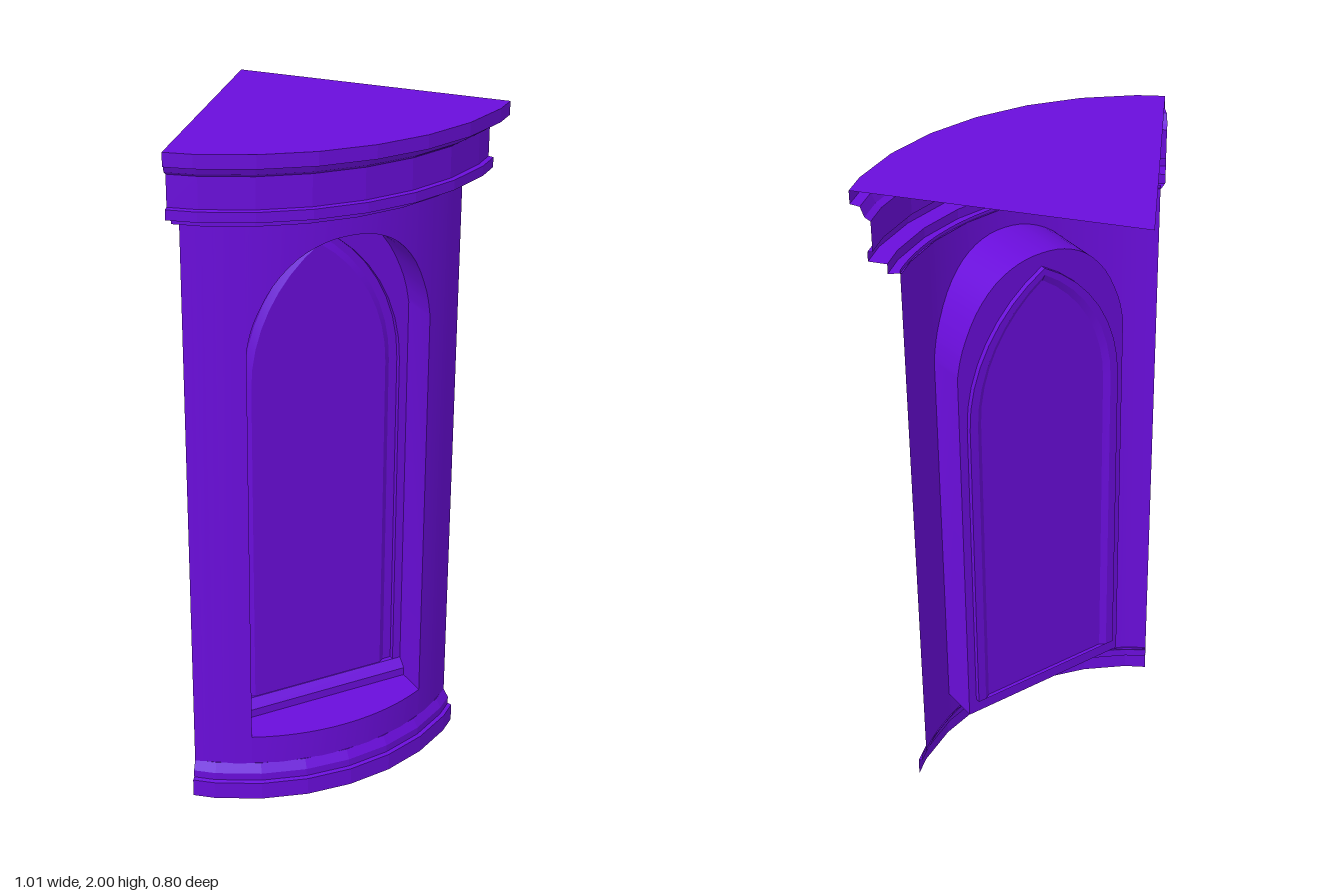
import * as THREE from 'three';
import { toCreasedNormals } from 'three/addons/utils/BufferGeometryUtils.js';

const material = new THREE.MeshStandardMaterial({ color: 0x6a0ddb, side: THREE.DoubleSide });
const APEX = -0.4;          // z of the centre the curved parts turn about
const WALL_R = 0.67;
const BACK = 0.09;          // z of the niche's back panel
const JAMB = 0.28, SILL = 0.2, SPRING = 1.42;
const WALL_LOW = 0.1, WALL_HIGH = 1.79;
const rad = THREE.MathUtils.degToRad;
const wallZ = (x) => APEX + Math.sqrt(WALL_R * WALL_R - x * x);
const lerpList = (a, b, n) => Array.from({ length: n + 1 }, (_, i) => a + (b - a) * i / n);

// Surface through rows of [x, y, z] points
function loft(rows, crease = 0.5) {
  const n = rows[0].length, index = [];
  for (let i = 0; i < rows.length - 1; i++) {
    for (let j = 0; j < n - 1; j++) {
      const a = i * n + j, b = a + 1, c = b + n, d = a + n;
      index.push(a, b, c, a, c, d);
    }
  }
  const g = new THREE.BufferGeometry();
  g.setAttribute('position', new THREE.Float32BufferAttribute(rows.flat(2), 3));
  g.setIndex(index);
  return toCreasedNormals(g, crease);
}

// Faceted arc of a 32-sided ring, cut off at +-half degrees
function arc(r, y, half) {
  const steps = lerpList(-33.75, 33.75, 6);
  return [-half, ...steps, half].map((deg) => {
    const t = rad(deg);
    const k = Math.abs(deg) > 34 ? r * 0.9955 : r;
    return [k * Math.sin(t), y, APEX + k * Math.cos(t)];
  });
}

// Round-headed niche head, from right spring to left spring
function nicheHead() {
  const half = [[0.28, SPRING], [0.262, 1.5], [0.215, 1.6], [0.15, 1.672], [0.075, 1.71], [0, 1.72]];
  const all = [...half, ...half.slice(0, -1).reverse().map(([x, y]) => [-x, y])];
  return new THREE.SplineCurve(all.map((p) => new THREE.Vector2(...p))).getPoints(30).map((p) => [p.x, p.y]);
}

// Closed pointed-arch outline, counterclockwise from the lower left
function lancet(w, apexY) {
  const spring = 1.25, bottom = 0.25, rise = apexY - spring;
  const R = (w * w + rise * rise) / (2 * w), end = Math.asin(rise / R);
  const right = lerpList(0, end, 8).map((t) => [w - R + R * Math.cos(t), spring + R * Math.sin(t)]);
  const left = right.slice(0, -1).reverse().map(([x, y]) => [-x, y]);
  return [[-w, bottom], [w, bottom], ...right, ...left, [-w, bottom]];
}

const toShape = (pts) => new THREE.Shape(pts.map((p) => new THREE.Vector2(...p)));
const atZ = (pts, z) => pts.map(([x, y]) => [x, y, z]);

export function createModel() {
  const group = new THREE.Group();
  const add = (name, geometry) => {
    const mesh = new THREE.Mesh(geometry, material);
    mesh.name = name;
    group.add(mesh);
    return mesh;
  };

  // Curved wall around the niche opening
  const head = nicheHead();
  const edge = WALL_R * Math.sin(rad(39.2));
  const strip = (pts, yOf) => pts.map((x, i) => [x, yOf(i), wallZ(x)]);
  const wallPiece = (name, xs, low, high) => add(name, loft([strip(xs, low), strip(xs, high)]));
  wallPiece('wallRight', lerpList(-edge, -JAMB, 6), () => WALL_LOW, () => WALL_HIGH);
  wallPiece('wallLeft', lerpList(JAMB, edge, 6), () => WALL_LOW, () => WALL_HIGH);
  const headLR = [...head].reverse();
  wallPiece('wallBelowNiche', lerpList(-JAMB, JAMB, 14), () => WALL_LOW, () => SILL);
  wallPiece('wallAboveNiche', headLR.map((p) => p[0]), (i) => headLR[i][1], () => WALL_HIGH);

  // Niche floor, jambs and rounded head running back from the wall
  const outline = [...lerpList(-JAMB, JAMB, 14).map((x) => [x, SILL]), ...head, [-JAMB, SILL]];
  add('nicheReveal', loft([outline.map(([x, y]) => [x, y, wallZ(x)]), atZ(outline, BACK)]));

  // Back panel pierced by the pointed window
  const outer = lancet(0.254, 1.68), middle = lancet(0.228, 1.66), inner = lancet(0.21, 1.638);
  const panel = toShape(outline.slice(0, -1));
  panel.holes.push(new THREE.Path(outer.slice(0, -1).map((p) => new THREE.Vector2(...p))));
  add('nicheBackPanel', new THREE.ShapeGeometry(panel).translate(0, 0, BACK));
  add('windowFrame', loft([
    atZ(outer, BACK), atZ(outer, 0.075), atZ(middle, 0.075), atZ(inner, 0.087),
  ], 0.3));
  add('windowPane', new THREE.ShapeGeometry(toShape(inner.slice(0, -1))).translate(0, 0, 0.087));

  // Sloping window sill
  const sillRow = (y, z) => [[-JAMB, y, z], [JAMB, y, z]];
  add('windowSill', loft([sillRow(SILL, 0.115), sillRow(0.225, 0.115), sillRow(0.25, BACK)], 0.2));

  // Stepped mouldings: radius, height, half angle
  const base = [
    [0.7, 0.003, 39.2], [0.7, 0.057, 39.2], [0.688, 0.06, 39.2], [0.688, 0.083, 39.2],
    [0.672, 0.11, 39.2], [0.668, 0.11, 39.2],
  ];
  const cornice = [
    [0.668, 1.78, 39.3], [0.703, 1.78, 40.2], [0.703, 1.808, 40.2], [0.756, 1.808, 40.1],
    [0.756, 1.836, 40.1], [0.742, 1.838, 40.1], [0.742, 1.925, 40.1], [0.758, 1.935, 40.1],
    [0.77, 1.962, 39.9], [0.8, 1.962, 39.375], [0.8, 2, 39.375],
  ];
  add('baseMoulding', loft(base.map((p) => arc(...p)), 0.1));
  add('corniceMoulding', loft(cornice.map((p) => arc(...p)), 0.1));

  // Thin wedge-shaped top reaching back to the centre
  const rim = arc(0.8, 2, 39.375);
  add('topSlab', loft([rim, rim.map(() => [0, 2, APEX])]));

  return group;
}
